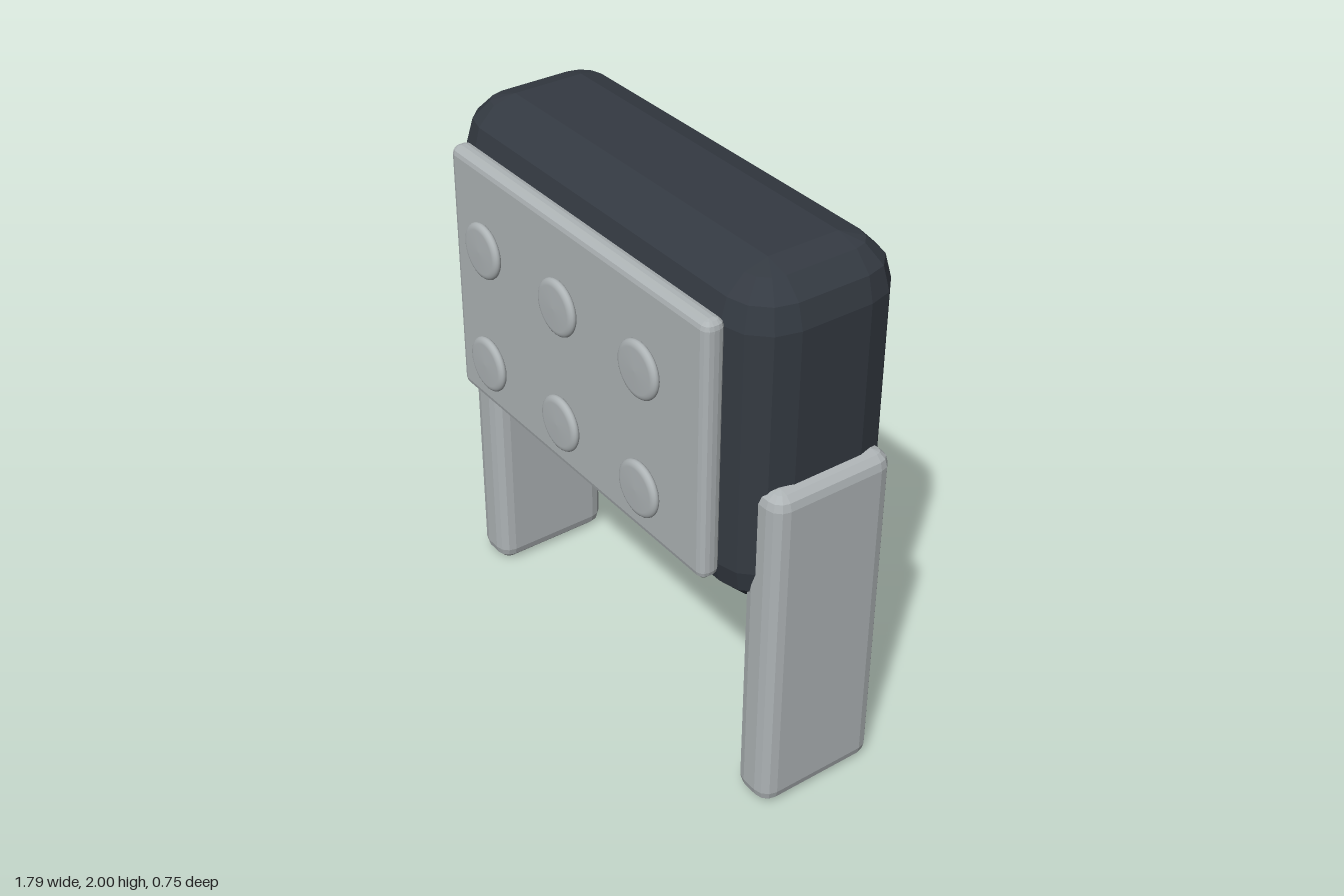
import * as THREE from 'three';

const shell = new THREE.MeshStandardMaterial({ color: 0x343a42, flatShading: true });
shell.name = 'dark slate';
const metal = new THREE.MeshStandardMaterial({ color: 0xaeb4b6, flatShading: true });
metal.name = 'light grey';
// Smooth variant of the grey for the round buttons
const metalSmooth = metal.clone();
metalSmooth.flatShading = false;

// Box with bevelled edges: a coarse sphere whose octants are pushed apart
function bevelBox(min, max, r, n = 3) {
  const size = max.map((v, i) => v - min[i]);
  const half = size.map((s) => s / 2 - r);
  const mid = min.map((v, i) => v + size[i] / 2);
  const pos = [], idx = [];
  const cols = 4 * (n + 1);
  for (const sy of [-1, 1]) {
    for (let j = 0; j <= n; j++) {
      const lat = ((sy < 0 ? j - n : j) / n) * Math.PI / 2;
      for (let q = 0; q < 4; q++) {
        const sx = q === 0 || q === 3 ? 1 : -1;
        const sz = q < 2 ? 1 : -1;
        for (let i = 0; i <= n; i++) {
          const lon = (q + i / n) * Math.PI / 2;
          pos.push(
            mid[0] + sx * half[0] + r * Math.cos(lat) * Math.cos(lon),
            mid[1] + sy * half[1] + r * Math.sin(lat),
            mid[2] + sz * half[2] + r * Math.cos(lat) * Math.sin(lon));
        }
      }
    }
  }
  const rows = 2 * (n + 1);
  for (let j = 0; j < rows - 1; j++) {
    for (let i = 0; i < cols; i++) {
      const k = (i + 1) % cols;
      const a = j * cols + i, b = j * cols + k, c = a + cols, d = b + cols;
      idx.push(a, c, b, b, c, d);
    }
  }
  // Flat bottom and top, one corner from each quarter
  const m = n + 1, t = (rows - 1) * cols;
  idx.push(0, m, 2 * m, 0, 2 * m, 3 * m);
  idx.push(t, t + 2 * m, t + m, t, t + 3 * m, t + 2 * m);
  const g = new THREE.BufferGeometry();
  g.setAttribute('position', new THREE.Float32BufferAttribute(pos, 3));
  g.setIndex(idx);
  g.computeVertexNormals();
  return g;
}

export function createModel() {
  const model = new THREE.Group();
  const add = (name, geometry, material) => {
    const mesh = new THREE.Mesh(geometry, material);
    mesh.name = name;
    model.add(mesh);
    return mesh;
  };

  // Main housing and front panel
  add('body', bevelBox([-0.845, 0.785, -0.372], [0.845, 2, 0.233], 0.17), shell);
  add('frontPanel', bevelBox([-0.71, 0.925, 0.23], [0.71, 1.87, 0.308], 0.03), metal);

  // Side legs
  add('leftLeg', bevelBox([0.728, 0, -0.303], [0.895, 1.288, 0.168], 0.055), metal);
  add('rightLeg', bevelBox([-0.895, 0, -0.303], [-0.728, 1.288, 0.168], 0.055), metal);

  // Thin round buttons hovering in front of the panel
  const profile = [new THREE.Vector2(0, -0.018)];
  for (let i = 0; i <= 8; i++) {
    const a = -Math.PI / 2 + (i / 8) * Math.PI;
    profile.push(new THREE.Vector2(0.078 + 0.022 * Math.cos(a), 0.016 * Math.sin(a)));
  }
  profile.push(new THREE.Vector2(0, 0.018));
  const buttonGeometry = new THREE.LatheGeometry(profile, 32).rotateX(Math.PI / 2);
  for (const y of [1.6, 1.157]) {
    for (const x of [-0.442, 0, 0.442]) {
      add('button', buttonGeometry, metalSmooth).position.set(x, y, 0.356);
    }
  }
  return model;
}
